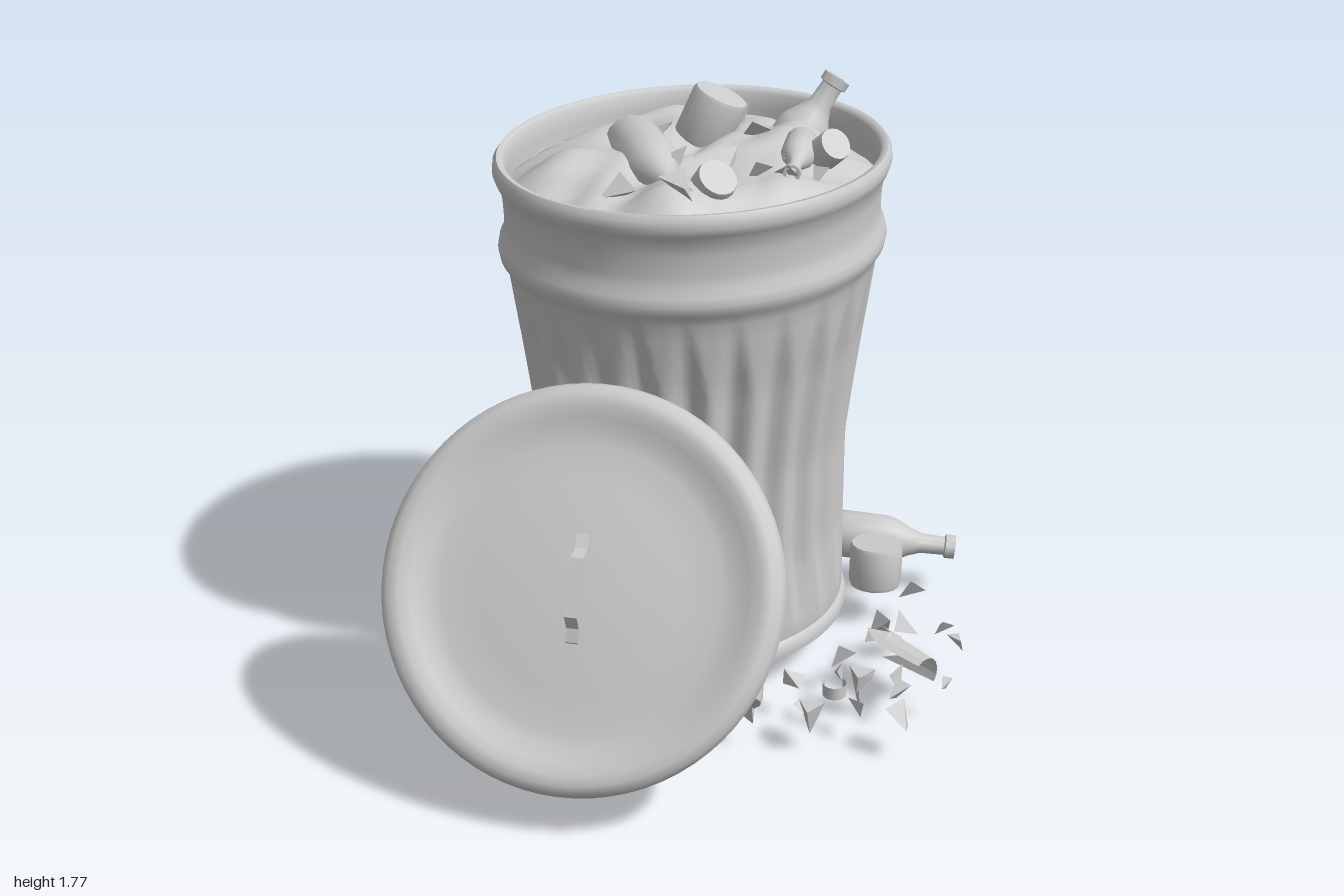
import * as THREE from 'three';
import { mergeVertices, toCreasedNormals } from 'three/addons/utils/BufferGeometryUtils.js';

const mat = new THREE.MeshStandardMaterial({ color: 0xcccccc, side: THREE.DoubleSide });
const flat = new THREE.MeshStandardMaterial({ color: 0xcccccc, side: THREE.DoubleSide, flatShading: true });
const UP = new THREE.Vector3(0, 1, 0);
const V = (p) => new THREE.Vector3(...p);

let seed = 7;
const rnd = () => (seed = (seed * 16807) % 2147483647) / 2147483647;

function part(name, geo, material = mat) {
  const m = new THREE.Mesh(geo, material);
  m.name = name;
  return m;
}

function lathe(profile, sides) {
  return new THREE.LatheGeometry(profile.map(([r, y]) => new THREE.Vector2(r, y)), sides);
}

// Drop uv seams, then smooth everything except sharp edges
function creased(geo, angle = 0.8) {
  geo.deleteAttribute('uv');
  geo.deleteAttribute('normal');
  return toCreasedNormals(mergeVertices(geo, 1e-4), angle);
}

// Stand a part on its base point, with its own y axis along a direction
function place(mesh, base, dir) {
  mesh.position.copy(V(base));
  mesh.quaternion.setFromUnitVectors(UP, V(dir).normalize());
  return mesh;
}

// Bin body: lathed wall whose middle is pressed into tapered flutes
function binBody() {
  const profile = [[0, 0.13], [0.488, 0.13], [0.502, 0.14], [0.505, 0.16], [0.498, 0.18], [0.488, 0.19]];
  for (let i = 0; i <= 24; i++) {
    const y = 0.2 + i * 0.046;
    const t = Math.max(0, (y - 0.74) / 0.59);
    profile.push([0.49 + 0.083 * Math.pow(t, 1.1), y]);
  }
  profile.push([0.58, 1.335], [0.593, 1.35], [0.598, 1.375], [0.593, 1.4], [0.58, 1.425], [0.577, 1.46], [0.58, 1.52],
    [0.588, 1.57], [0.6, 1.583], [0.608, 1.605], [0.606, 1.63], [0.595, 1.645], [0.58, 1.643], [0.57, 1.63], [0.568, 1.58], [0.56, 1.45]);
  const geo = lathe(profile, 192);
  const p = geo.attributes.position;
  for (let i = 0; i < p.count; i++) {
    const x = p.getX(i), y = p.getY(i), z = p.getZ(i);
    if (y < 0.2 || y > 1.31) continue;
    const env = Math.min(1, (y - 0.2) / 0.24, (1.31 - y) / 0.24);
    const press = Math.max(0, Math.cos(24 * Math.atan2(x, z)) - 1 + 2 * env) / 2;
    const k = 1 - 0.036 * press / Math.hypot(x, z);
    p.setXYZ(i, x * k, y, z * k);
  }
  return part('binBody', creased(geo));
}

// Heap of rubbish: a disc raised by lumps and folds
const lumps = [[-0.3, -0.2, 0.16, 0.07], [-0.32, 0.24, 0.12, 0.06], [-0.08, -0.28, 0.12, 0.04], [0.24, -0.33, 0.12, 0.04],
  [0.02, 0.3, 0.13, 0.04], [0.3, 0.1, 0.14, 0.05], [-0.1, 0.02, 0.1, 0.03], [0.1, 0.12, 0.1, 0.04]];
function heapHeight(x, z) {
  const r = Math.hypot(x, z) / 0.57;
  let y = 1.53 + 0.07 * (1 - r ** 4);
  for (const [lx, lz, s, h] of lumps) y += h * Math.exp(-((x - lx) ** 2 + (z - lz) ** 2) / (s * s));
  y += 0.014 * Math.sin(13 * x + 5 * Math.sin(7 * z)) + 0.012 * Math.abs(Math.sin(11 * z - 6 * x + 2 * Math.sin(9 * x)));
  return y;
}
function heap() {
  const geo = new THREE.RingGeometry(0.001, 0.57, 72, 24).rotateX(-Math.PI / 2);
  const p = geo.attributes.position;
  for (let i = 0; i < p.count; i++) p.setY(i, heapHeight(p.getX(i), p.getZ(i)));
  return part('rubbishHeap', creased(geo, 1.2));
}

// Bottle with an open neck, scaled by length
function bottle(name, length, radius) {
  const neck = radius * 0.42;
  const shape = [[0, 0], [0.92, 0], [1, 0.03], [1, 0.42], [0.9, 0.5], [0.6, 0.62]].map(([r, y]) => [r * radius, y * length]);
  shape.push([neck, 0.72 * length], [neck * 0.92, 0.91 * length], [neck * 1.2, 0.92 * length], [neck * 1.2, length],
    [neck * 0.8, length], [neck * 0.7, 0.75 * length]);
  return part(name, creased(lathe(shape, 14)));
}

// Tin with slightly rolled ends
function tin(name, r, h) {
  return part(name, creased(lathe([[0, 0], [r * 0.95, 0], [r, 0.012], [r, h - 0.012], [r * 0.95, h], [0, h]], 18)));
}

function shard(x, y, z, size) {
  const m = part('shard', new THREE.TetrahedronGeometry(size), flat);
  m.scale.set(1.1, 0.45, 0.75);
  m.rotation.set(rnd() * 1.6, rnd() * 6.3, rnd() * 1.6);
  m.position.set(x, y, z);
  return m;
}

// Curved broken piece of a bottle wall
function brokenShell(r, h, arc) {
  const geo = new THREE.CylinderGeometry(r * 0.7, r, h, 7, 3, true, 0, arc);
  const p = geo.attributes.position;
  for (let i = 0; i < p.count; i++) if (p.getY(i) < -h * 0.4) p.setY(i, p.getY(i) + (i % 2) * h * 0.3);
  return part('brokenBottle', geo, flat);
}

// Lid: dished disc with rolled edge and a bent strap handle
function lid() {
  const g = new THREE.Group();
  g.name = 'lid';
  g.add(part('lidDisc', creased(lathe([[0, 0.0], [0.3, -0.006], [0.45, -0.012], [0.52, -0.02], [0.535, -0.045], [0.555, -0.05],
    [0.572, -0.035], [0.577, -0.005], [0.568, 0.025], [0.545, 0.042], [0.515, 0.042], [0.48, 0.03], [0.44, 0.015],
    [0.4, 0.01], [0.3, 0.018], [0.15, 0.028], [0, 0.03]], 72), 1)));
  const pts = [[-0.155, 0.022], [-0.115, 0.03], [-0.085, 0.07], [0.085, 0.07], [0.115, 0.03], [0.155, 0.022]];
  const outline = pts.concat(pts.map(([a, b]) => [a * 0.97, b + 0.014]).reverse());
  const strap = new THREE.ExtrudeGeometry(new THREE.Shape(outline.map(([a, b]) => new THREE.Vector2(a, b))),
    { depth: 0.036, bevelEnabled: false });
  g.add(part('lidHandle', strap.translate(0, 0, -0.018), flat));
  // x axis runs up the slope, y axis is the outward face of the lid
  const n = V([-0.72, 0.52, 0.455]).normalize();
  const slope = UP.clone().addScaledVector(n, -n.y).normalize();
  g.quaternion.setFromRotationMatrix(new THREE.Matrix4().makeBasis(slope, n, slope.clone().cross(n)));
  g.position.set(-0.588, 0.63, 0.13);
  return g;
}

export function createModel() {
  const model = new THREE.Group();
  model.name = 'rubbishBin';

  // Slightly oval bin with its contents
  const bin = new THREE.Group();
  bin.name = 'bin';
  bin.add(binBody(), heap());
  bin.position.set(0.207, 0, -0.207);
  bin.scale.z = 0.906;
  model.add(bin, lid());

  // Rubbish on top of the heap
  model.add(
    place(bottle('heapBottleLarge', 0.52, 0.085), [0.16, 1.62, -0.42], [-0.22, 0.0, 0.4]),
    place(bottle('heapBottleUpright', 0.33, 0.085), [0.56, 1.48, -0.2], [0.17, 0.28, 0.09]),
    place(bottle('heapBottleSmall', 0.3, 0.05), [0.48, 1.63, -0.03], [-0.23, 0.01, 0.17]),
    place(tin('heapTin', 0.085, 0.16), [0.38, 1.58, -0.35], [0.25, 0.8, 0.25]),
    place(tin('heapTin', 0.06, 0.14), [0.04, 1.56, -0.02], [-0.1, 0.6, 0.5]),
    place(tin('heapTin', 0.05, 0.15), [0.46, 1.58, 0.02], [-0.1, 0.5, 0.6]));
  for (const [x, z, s] of [[0.26, -0.38, 0.04], [0.43, -0.18, 0.07], [0.2, 0.05, 0.06], [0.25, 0.12, 0.05], [0.35, 0.15, 0.05],
    [0.2, -0.06, 0.06], [0.55, -0.36, 0.08], [-0.15, -0.16, 0.07], [-0.1, 0.04, 0.08], [0.32, 0.07, 0.04], [0.08, -0.15, 0.06]])
    model.add(shard(x, heapHeight(x - 0.207, (z + 0.207) / 0.906) + 0.015, z, s));

  // Rubbish on the ground
  model.add(
    place(tin('groundTinLeft', 0.085, 0.2), [-0.21, 0.19, 0.36], [0.5, 0.55, -0.4]),
    place(tin('groundTinRight', 0.083, 0.14), [0.68, 0.135, 0.14], [0.08, 1, -0.05]),
    place(bottle('groundBottle', 0.39, 0.078), [0.75, 0.205, -0.09], [0.23, -0.035, 0.28]));

  const shell = brokenShell(0.085, 0.22, 2.8);
  shell.position.set(0.36, 0.13, 0.5);
  shell.rotation.set(Math.PI / 2, 0.0, 0.9, 'ZXY');
  const ring = part('brokenNeck', new THREE.CylinderGeometry(0.035, 0.035, 0.04, 12, 1, true, 3.2, 4.6));
  ring.position.set(0.11, 0.14, 0.47);
  model.add(shell, ring);

  const ground = [[-0.02, 0.47, 0.05], [0.1, 0.57, 0.045], [0.13, 0.71, 0.065], [0.27, 0.36, 0.06], [0.3, 0.55, 0.06],
    [0.36, 0.69, 0.03], [0.55, 0.37, 0.07], [0.62, 0.47, 0.045], [0.59, 0.55, 0.045], [0.73, 0.25, 0.06], [0.2, 0.5, 0.045],
    [0.2, 0.41, 0.04], [0.42, 0.37, 0.05], [0.5, 0.32, 0.06], [0.25, 0.6, 0.05], [-0.14, 0.36, 0.06], [0.06, 0.35, 0.05]];
  for (const [x, z, s] of ground) model.add(shard(x, 0.125 + rnd() * 0.02, z, s));
  // Two long splinters point downwards
  for (const [x, y, z, h] of [[0.22, 0.08, 0.48, 0.15], [-0.03, 0.11, 0.5, 0.1]]) {
    const m = part('splinter', new THREE.ConeGeometry(0.045, h, 3).rotateX(Math.PI), flat);
    m.position.set(x, y, z);
    model.add(m);
  }
  return model;
}
